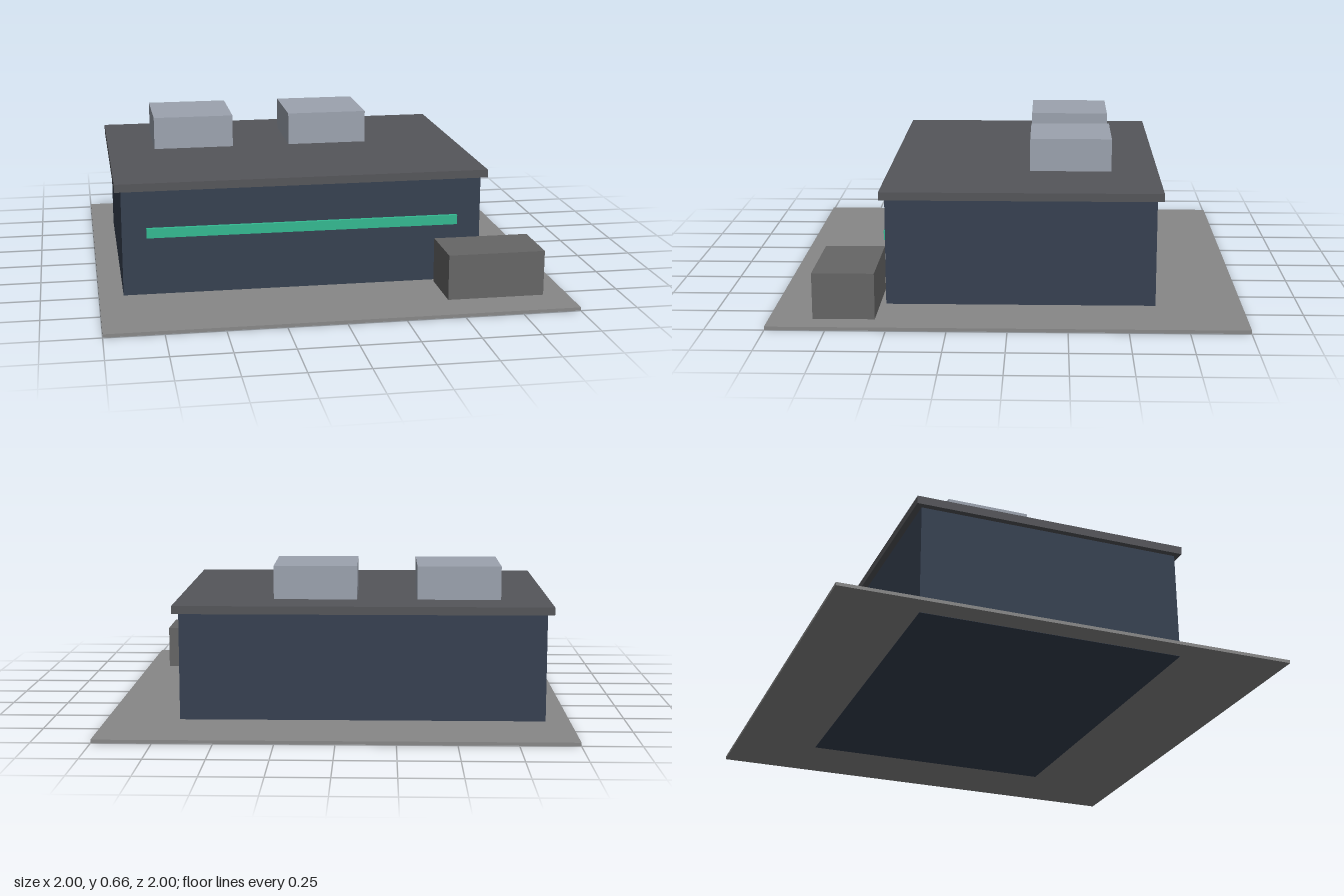
import * as THREE from 'three';

// Box given by its [min, max] extent on each axis
function block(name, color, [x0, x1], [y0, y1], [z0, z1]) {
  const geometry = new THREE.BoxGeometry(x1 - x0, y1 - y0, z1 - z0);
  const mesh = new THREE.Mesh(geometry, new THREE.MeshStandardMaterial({ color }));
  mesh.position.set((x0 + x1) / 2, (y0 + y1) / 2, (z0 + z1) / 2);
  mesh.name = name;
  return mesh;
}

export function createModel() {
  const group = new THREE.Group();
  group.name = 'industrialBuilding';

  // Ground slab, a hair above the building's underside so that the footprint shows
  group.add(block('groundSlab', 0x888888, [-1, 1], [0.001, 0.015], [-1, 1]));

  // Main hall and overhanging roof
  group.add(block('mainHall', 0x374151, [-0.895, 0.682], [0, 0.48], [-0.628, 0.53]));
  group.add(block('roof', 0x55565a, [-0.922, 0.708], [0.48, 0.515], [-0.655, 0.553]));

  // Green band along the front wall
  group.add(block('frontBand', 0x34b991, [-0.79, 0.576], [0.271, 0.313], [0.53, 0.547]));

  // Small block at the front corner
  group.add(block('cornerBlock', 0x666666, [0.472, 0.894], [0.002, 0.213], [0.555, 0.816]));

  // Rooftop units
  for (const x of [-0.71, -0.081]) {
    group.add(block('rooftopUnit', 0x9ca3af, [x, x + 0.366], [0.515, 0.662], [-0.447, -0.083]));
  }
  return group;
}
